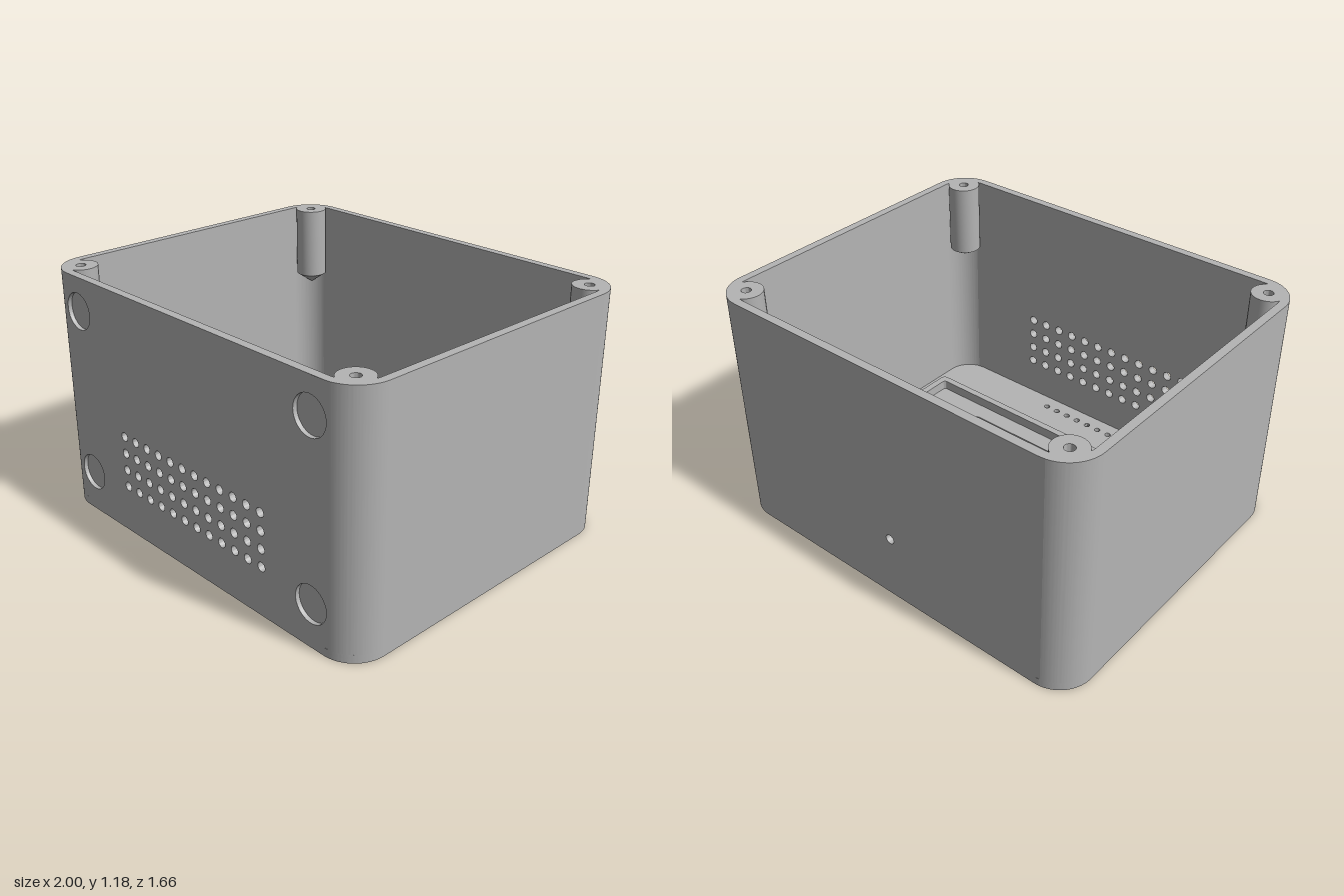
import * as THREE from 'three';
import { toCreasedNormals } from 'three/addons/utils/BufferGeometryUtils.js';

const W = 1, D = 0.83, H = 1.185;      // half width, half depth, height
const T = 0.04, R = 0.17;              // wall thickness, corner radius
const CX = W - R, CZ = D - R;          // corner centres
const SEAM = 0.86;                     // where flat panels meet the rounded sides

function roundRect(path, x0, y0, x1, y1, r) {
  path.absarc(x1 - r, y0 + r, r, -Math.PI / 2, 0);
  path.absarc(x1 - r, y1 - r, r, 0, Math.PI / 2);
  path.absarc(x0 + r, y1 - r, r, Math.PI / 2, Math.PI);
  path.absarc(x0 + r, y0 + r, r, Math.PI, Math.PI * 1.5);
  path.closePath();
  return path;
}

const hole = ([x, y, r]) => new THREE.Path().absarc(x, y, r, 0, Math.PI * 2, true);

function extrude(shape, depth) {
  const geo = new THREE.ExtrudeGeometry(shape, { depth, bevelEnabled: false, curveSegments: 20 });
  return toCreasedNormals(geo, 0.6);
}

// Plan shape (x, -z) raised from height y
const slab = (shape, y, height) => extrude(shape, height).rotateX(-Math.PI / 2).translate(0, y, 0);

// Upright panel between the rounded sides, following the start of the corner curve
function panel(holes, z, depth) {
  const s = new THREE.Shape();
  [[-SEAM, T], [-CX, T], [CX, T], [SEAM, T], [SEAM, H], [CX, H], [-CX, H], [-SEAM, H]]
    .forEach(([x, y], i) => (i ? s.lineTo(x, y) : s.moveTo(x, y)));
  s.closePath();
  s.holes = holes.map(hole);
  const geo = extrude(s, depth).translate(0, 0, z);
  const p = geo.attributes.position;
  for (let i = 0; i < p.count; i++) {
    const over = Math.max(0, Math.abs(p.getX(i)) - CX);
    const r = p.getZ(i) - CZ;
    p.setZ(i, CZ + Math.sqrt(r * r - over * over));
  }
  return geo;
}

export function createModel() {
  const model = new THREE.Group();
  model.name = 'enclosure';
  const grey = new THREE.MeshStandardMaterial({ color: 0xb4b4b4 });
  grey.name = 'grey plastic';
  const add = (name, geo, parent = model) => {
    const mesh = new THREE.Mesh(geo, grey);
    mesh.name = name;
    parent.add(mesh);
    return mesh;
  };

  // Floor in two layers, so the two side holes stay blind
  const lights = Array.from({ length: 10 }, (_, i) => [-0.306 + i * 0.068, -0.715, 0.015]);
  const floorShape = (extra) => {
    const s = roundRect(new THREE.Shape(), -W, -D, W, D, R);
    s.holes = [...lights, ...extra].map(hole);
    s.holes.push(roundRect(new THREE.Path(), -0.57, -0.4, 0.57, 0.47, 0.05));
    return s;
  };
  add('floorUnderside', slab(floorShape([[-0.79, 0.01, 0.02], [0.79, 0.01, 0.02]]), 0, T / 2));
  add('floorTop', slab(floorShape([]), T / 2, T / 2));

  // Raised rim around the window
  const rim = roundRect(new THREE.Shape(), -0.895, -0.525, 0.895, 0.605, 0.025);
  rim.holes.push(roundRect(new THREE.Path(), -0.86, -0.49, 0.86, 0.565, 0.015));
  add('windowRim', slab(rim, T, 0.05));

  // Side walls with their rounded corners
  const ri = R - T;
  const a0 = Math.acos((SEAM - CX) / R), a1 = Math.acos((SEAM - CX) / ri);
  const side = new THREE.Shape();
  side.absarc(CX, CZ, R, a0, 0, true);
  side.absarc(CX, -CZ, R, 0, -a0, true);
  side.absarc(CX, -CZ, ri, -a1, 0, false);
  side.absarc(CX, CZ, ri, 0, a1, false);
  side.closePath();
  const sideGeo = slab(side, T, H - T);
  add('leftWall', sideGeo);
  add('rightWall', sideGeo).rotation.y = Math.PI;

  // Front wall: vent holes go through, round pockets only halfway
  const vents = [], pockets = [];
  for (let c = 0; c < 12; c++)
    for (let r = 0; r < 4; r++) vents.push([-0.468 + c * 0.085, 0.24 + r * 0.085, 0.022]);
  for (const x of [-0.76, 0.76])
    for (const y of [0.205, 1.02]) pockets.push([x, y, 0.088]);
  add('frontWallOuter', panel([...vents, ...pockets], D - T / 2, T / 2));
  add('frontWallInner', panel(vents, D - T, T / 2));

  // Back wall with a cable hole
  add('backWall', panel([[0.03, 0.33, 0.023]], D - T, T)).rotation.y = Math.PI;

  // Corner screw posts, each tapering down into its corner
  const postR = 0.078, postY = 0.83, taper = 0.07;
  const ring = new THREE.Shape().absarc(0, 0, postR, 0, Math.PI * 2);
  ring.holes.push(hole([0, 0, 0.023]));
  const postGeo = slab(ring, postY, H - postY);
  for (const sx of [-1, 1]) for (const sz of [-1, 1]) {
    const post = new THREE.Group();
    post.name = 'screwPost';
    post.position.set(sx * 0.887, 0, sz * 0.72);
    add('postShaft', postGeo, post);
    const cone = new THREE.CylinderGeometry(postR, 0, taper, 40).translate(0, postY - taper / 2, 0);
    const p = cone.attributes.position;
    for (let i = 0; i < p.count; i++) {
      const t = (postY - p.getY(i)) / taper;
      p.setX(i, p.getX(i) + sx * 0.035 * t);
      p.setZ(i, p.getZ(i) + sz * 0.035 * t);
    }
    cone.computeVertexNormals();
    add('postTaper', cone, post);
    model.add(post);
  }
  return model;
}
